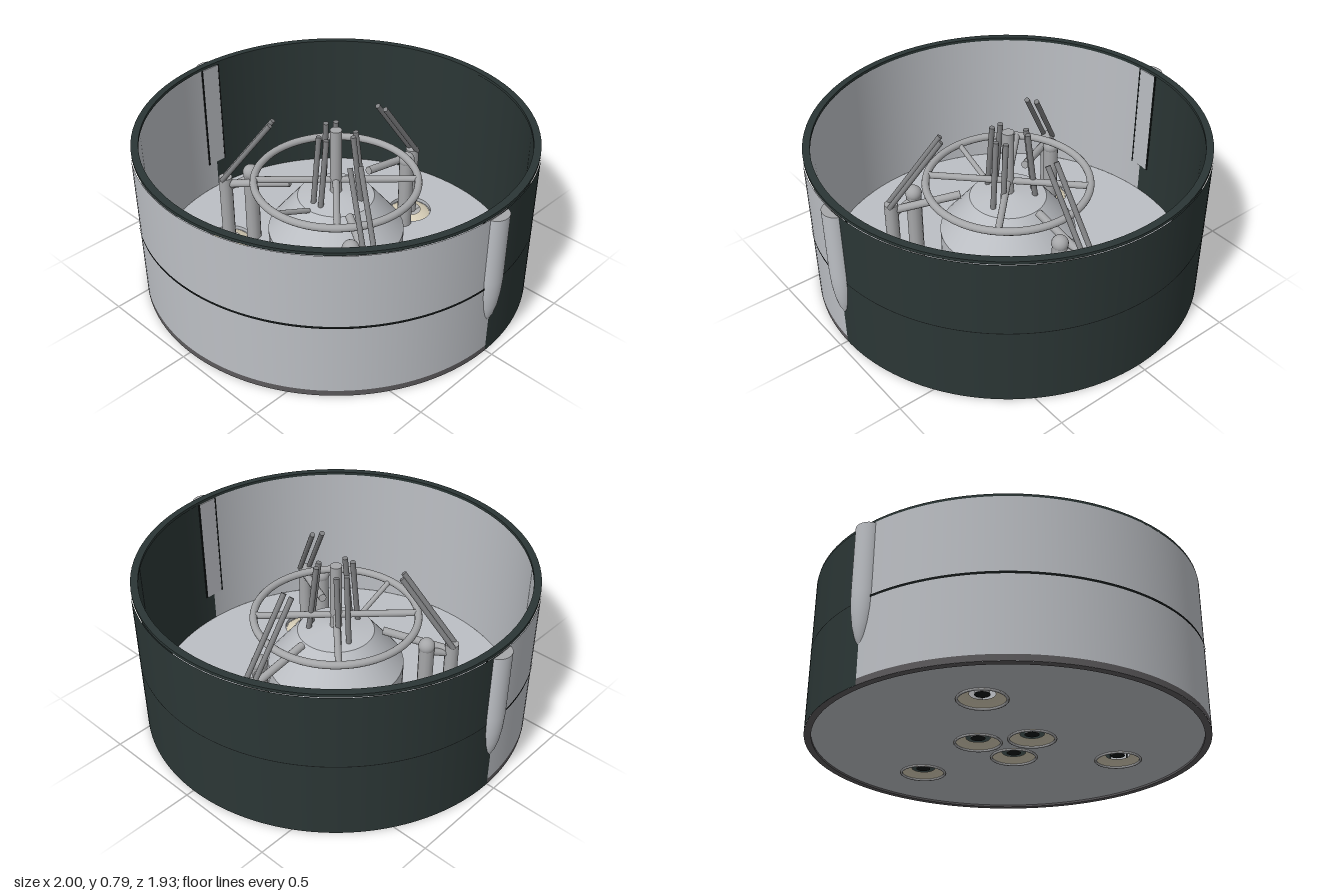
import * as THREE from 'three';

const material = (name, color, side = THREE.FrontSide) => {
  const m = new THREE.MeshStandardMaterial({ color, side });
  m.name = name;
  return m;
};

export function createModel() {
  const steel = material('light steel', 0xbcbfc4);
  const dark = material('dark heat shield', 0x2b3635);
  const plate = material('dark grey plate', 0x5c5a5c);
  const black = material('black seam', 0x121616);
  const pipe = material('pipe metal', 0xa6a7a9);
  const feed = material('feed pipe grey', 0x7f8082);
  const cream = material('cream nozzle', 0xd8cfb8, THREE.DoubleSide);

  const root = new THREE.Group();
  root.name = 'engineSection';

  const add = (parent, name, geometry, mat, x = 0, y = 0, z = 0) => {
    const mesh = new THREE.Mesh(geometry, mat);
    mesh.name = name;
    mesh.position.set(x, y, z);
    parent.add(mesh);
    return mesh;
  };
  // One straight lathe wall between two profile points
  const wall = (name, a, b, mat, start = 0, sweep = Math.PI * 2, segs = 96) =>
    add(root, name, new THREE.LatheGeometry(
      [new THREE.Vector2(...a), new THREE.Vector2(...b)], segs, start, sweep), mat);
  // Round bar between two points
  const bar = (parent, name, a, b, r, mat = pipe) => {
    const p = new THREE.Vector3(...a), q = new THREE.Vector3(...b);
    const d = q.clone().sub(p);
    const mesh = add(parent, name, new THREE.CylinderGeometry(r, r, d.length(), 12), mat);
    mesh.position.copy(p).add(q).multiplyScalar(0.5);
    mesh.quaternion.setFromUnitVectors(new THREE.Vector3(0, 1, 0), d.normalize());
  };

  // Hull: steel front half, dark back half
  const R = 0.96, IN = 0.927, TOP = 0.775, H = Math.PI / 2;
  wall('frontHullOuter', [R, 0.03], [R, TOP], steel, -H, Math.PI);
  wall('frontHullInner', [IN, TOP], [IN, 0.03], steel, -H, Math.PI);
  wall('frontBaseBand', [R, 0], [R, 0.03], plate, -H, Math.PI);
  wall('backHullOuter', [R, 0], [R, TOP], dark, H, Math.PI);
  wall('backHullInner', [IN, TOP], [IN, 0.03], dark, H, Math.PI);
  wall('baseRim', [IN, 0], [R, 0], plate);
  wall('baseRimInner', [IN, 0.012], [IN, 0], plate);

  // Dark top rim
  wall('topRimOuter', [R - 0.003, TOP], [R - 0.003, 0.79], dark);
  wall('topRimCap', [R - 0.003, 0.79], [IN - 0.005, 0.79], dark);
  wall('topRimInner', [IN - 0.005, 0.79], [IN - 0.005, TOP], dark);
  wall('topRimUnder', [IN - 0.005, TOP], [R, TOP], dark);

  // Weld seam halfway up, fainter on the back
  wall('frontSeam', [R + 0.004, 0.394], [R + 0.004, 0.406], black, -H, Math.PI);
  wall('backSeam', [R + 0.002, 0.398], [R + 0.002, 0.402], black, H, Math.PI);

  // Side fairings with a tapered lower tip, and their strips inside the hull
  const tip = [[0, 0.17], [0.014, 0.185], [0.033, 0.225], [0.048, 0.28], [0.058, 0.35],
    [0.0625, 0.43], [0.0625, 0.77]].map(p => new THREE.Vector2(...p));
  for (const s of [-1, 1]) {
    const g = new THREE.Group();
    g.name = s > 0 ? 'leftFairing' : 'rightFairing';
    g.position.x = s * 0.945;
    g.scale.x = 0.88;
    g.rotation.y = s > 0 ? 0 : Math.PI;
    root.add(g);
    add(g, 'fairingShell', new THREE.LatheGeometry(tip, 24, 0, Math.PI), steel);
    const cap = add(g, 'fairingCap', new THREE.CircleGeometry(0.0625, 24, -H, Math.PI), pipe, 0, 0.77, 0);
    cap.rotation.x = -H;
    add(root, 'innerStrip', new THREE.BoxGeometry(0.006, 0.58, 0.1), steel, s * 0.924, 0.48, 0);
    for (const z of [-0.054, 0.054])
      add(root, 'innerStripEdge', new THREE.BoxGeometry(0.006, 0.58, 0.008), black, s * 0.923, 0.48, z);
  }

  // Floor with engine holes
  const centres = [];
  for (let i = 0; i < 3; i++) {
    const t = i * Math.PI * 2 / 3;
    centres.push([-0.575 * Math.sin(t), -0.575 * Math.cos(t)]);
    centres.push([0.15 * Math.sin(t), 0.15 * Math.cos(t)]);
  }
  const disc = new THREE.Shape().absarc(0, 0, IN, 0, Math.PI * 2);
  for (const [x, z] of centres)
    disc.holes.push(new THREE.Path().absarc(x, z, 0.114, 0, Math.PI * 2, true));
  const floorGeo = new THREE.ExtrudeGeometry(disc, { depth: 0.02, bevelEnabled: false, curveSegments: 48 });
  add(root, 'floor', floorGeo, steel, 0, 0.03, 0).rotation.x = H;

  // Shallow open nozzles
  const bell = [[0.118, 0.006], [0.1, 0.016], [0.08, 0.025], [0.058, 0.032]]
    .map(p => new THREE.Vector2(...p));
  for (const [x, z] of centres) {
    add(root, 'nozzle', new THREE.LatheGeometry(bell, 40), cream, x, 0, z);
    const lip = add(root, 'nozzleLip', new THREE.TorusGeometry(0.11, 0.006, 8, 40), pipe, x, 0.006, z);
    lip.rotation.x = H;
    const core = add(root, 'chamberMouth', new THREE.CircleGeometry(0.036, 16), black, x, 0.029, z);
    core.rotation.x = H;
  }

  // Central thrust cone
  wall('thrustConeSkirt', [0.34, 0.03], [0.34, 0.22], steel, 0, Math.PI * 2, 48);
  wall('thrustCone', [0.34, 0.22], [0.19, 0.41], steel, 0, Math.PI * 2, 48);
  wall('thrustConeTop', [0.19, 0.41], [0, 0.44], steel, 0, Math.PI * 2, 48);
  bar(root, 'centralColumn', [0, 0.4, 0], [0, 0.78, 0], 0.03);

  // Support ring and its cross beams
  add(root, 'supportRing', new THREE.TorusGeometry(0.402, 0.019, 12, 72), pipe, 0, 0.5, 0).rotation.x = H;
  for (const s of [-1, 1])
    bar(root, 'crossBeam', [-0.28, 0.5, -0.28 * s], [0.28, 0.5, 0.28 * s], 0.017);
  bar(root, 'ringStrut', [0, 0.41, 0.19], [0, 0.5, 0.4], 0.013);

  // Three outer and three inner engines, repeated around the axis
  for (let i = 0; i < 3; i++) {
    const outer = new THREE.Group();
    outer.name = 'outerEngine';
    outer.rotation.y = i * Math.PI * 2 / 3;
    root.add(outer);
    bar(outer, 'combustionChamber', [0, 0.03, -0.575], [0, 0.42, -0.575], 0.034);
    bar(outer, 'pumpBody', [0.06, 0.03, -0.46], [0.06, 0.43, -0.46], 0.038);
    add(outer, 'pumpDome', new THREE.SphereGeometry(0.041, 20, 14), pipe, 0.06, 0.43, -0.46);
    bar(outer, 'pumpLink', [0, 0.36, -0.56], [0.06, 0.4, -0.46], 0.018);
    bar(outer, 'lowerFeedPipe', [0, 0.38, -0.57], [0, 0.44, -0.235], 0.02);
    for (const x of [-0.025, 0.025])
      bar(outer, 'feedPipe', [x, 0.41, -0.585], [x, 0.77, -0.32], 0.013, feed);

    const inner = new THREE.Group();
    inner.name = 'innerEngine';
    inner.rotation.y = i * Math.PI * 2 / 3;
    root.add(inner);
    bar(inner, 'combustionChamber', [0, 0.03, 0.15], [0, 0.36, 0.15], 0.034);
    for (const x of [-0.025, 0.025])
      bar(inner, 'feedPipe', [x, 0.38, 0.135], [x, 0.77, 0.09], 0.014, feed);
  }
  return root;
}
